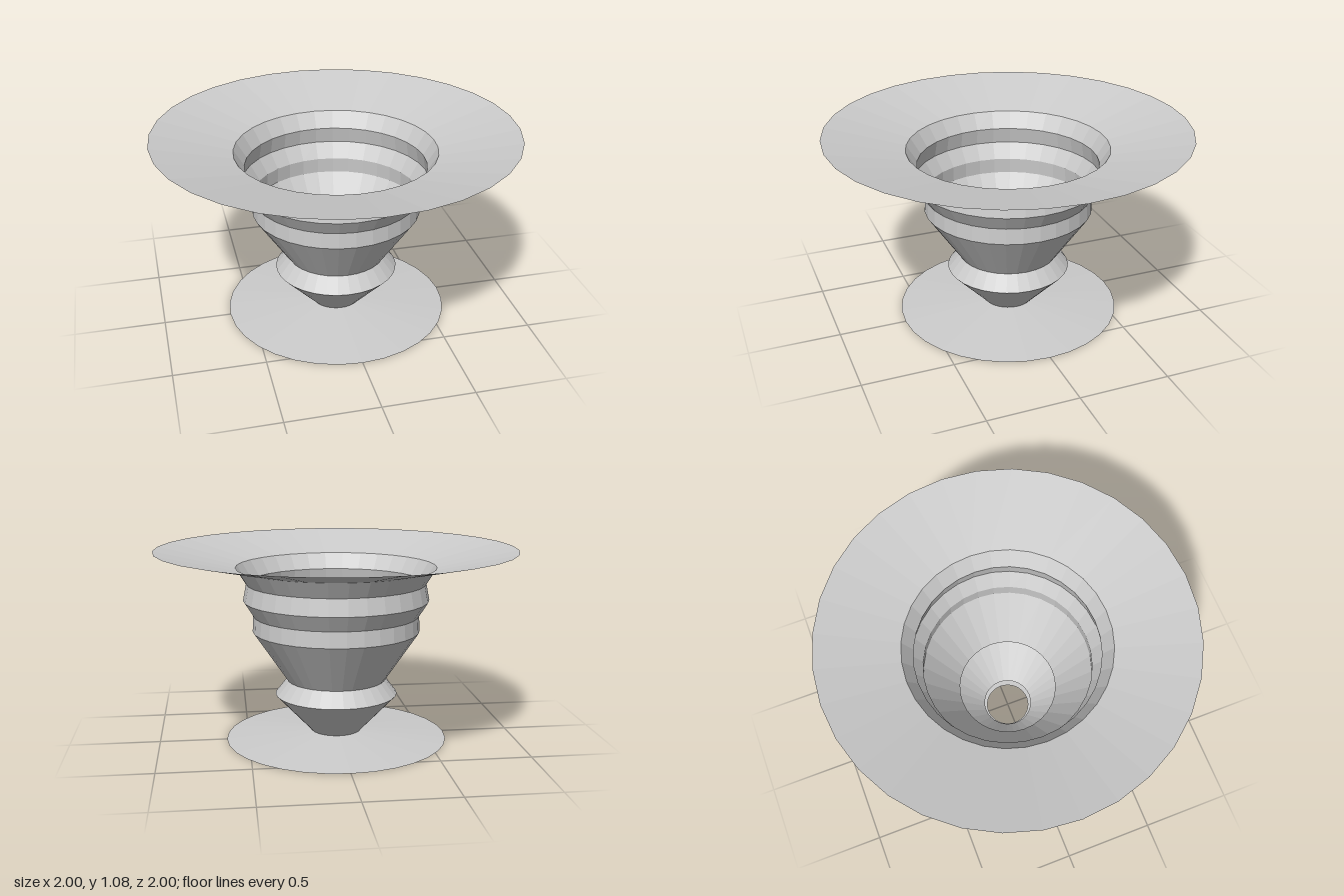
import * as THREE from 'three';

const SIDES = 32;

export function createModel() {
  const group = new THREE.Group();
  const material = new THREE.MeshStandardMaterial({
    color: 0xcccccc, flatShading: true, side: THREE.DoubleSide,
  });

  // Each part is a thin turned shell; profile points are [radius, height]
  const addTurned = (name, profile) => {
    const points = profile.map(([r, y]) => new THREE.Vector2(r, y));
    const mesh = new THREE.Mesh(new THREE.LatheGeometry(points, SIDES), material);
    mesh.name = name;
    group.add(mesh);
  };

  // Flat underside with a central hole, and the shallow cone above it
  addTurned('foot', [[0.125, 0], [0.625, 0], [0.14, 0.04]]);
  // Flared stem with its sharp collar
  addTurned('stem', [[0.14, 0.04], [0.345, 0.257], [0.278, 0.34]]);
  // Open bowl with stepped bands
  addTurned('bowl', [
    [0.278, 0.34], [0.468, 0.622], [0.463, 0.71],
    [0.518, 0.797], [0.5, 0.89], [0.557, 0.98],
  ]);
  // Wide sloping rim
  addTurned('rim', [[0.557, 0.98], [1, 1.08]]);

  return group;
}
